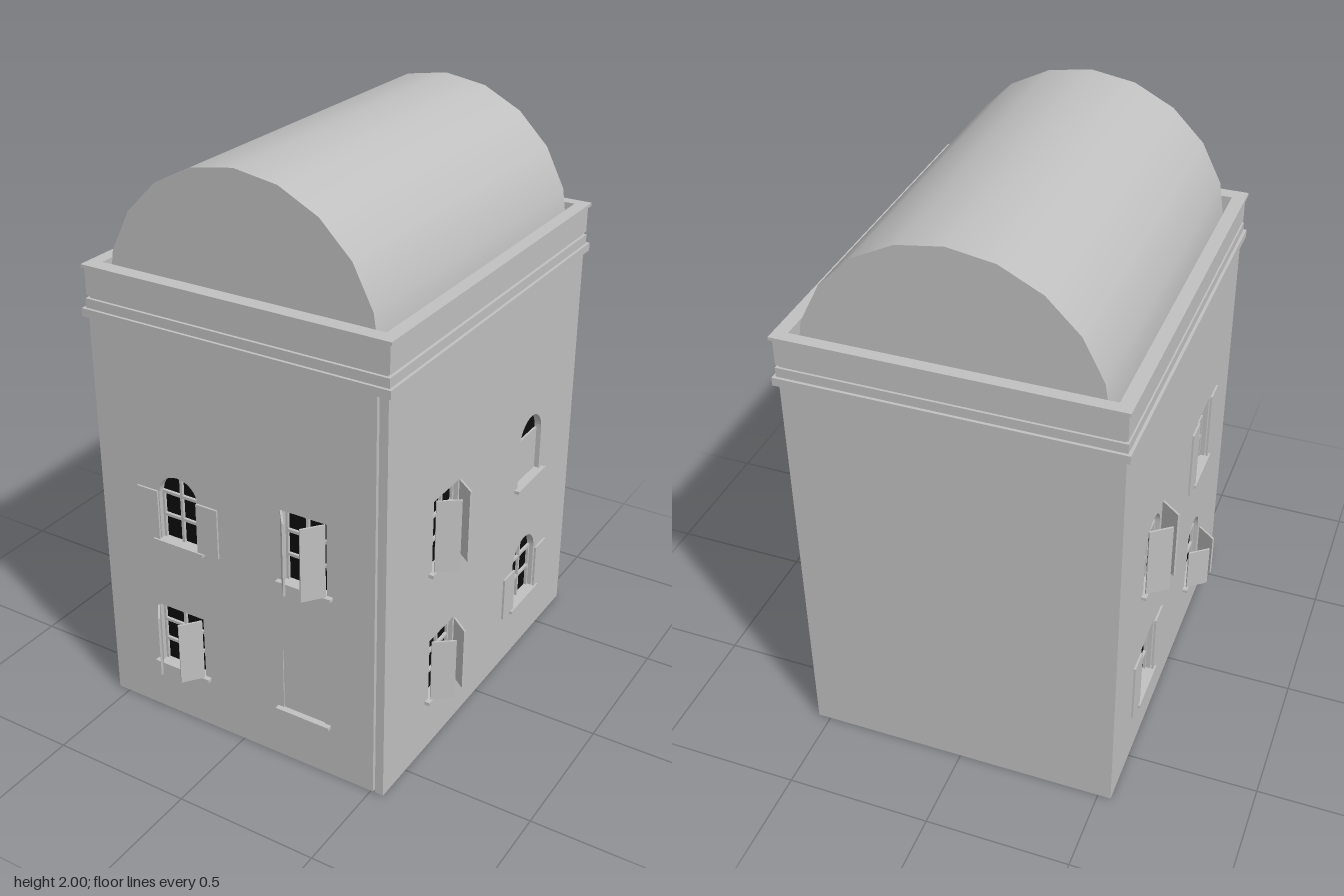
import * as THREE from 'three';

const stone = new THREE.MeshStandardMaterial({ color: 0xc0c0c0 });
stone.name = 'pale grey stone';
const dark = new THREE.MeshStandardMaterial({ color: 0x0c0c0c });
dark.name = 'black glass';

const T = 0.03; // wall thickness in front of the core
const BACK = -0.7, FRONT = 0.645, SIDE = 0.545;
const AJAR = THREE.MathUtils.degToRad(52), OPEN = Math.PI;

function add(parent, name, geometry, x = 0, y = 0, z = 0, material = stone) {
  const mesh = new THREE.Mesh(geometry, material);
  mesh.name = name;
  mesh.position.set(x, y, z);
  parent.add(mesh);
  return mesh;
}

function span(parent, name, x0, x1, y0, y1, z0, z1, material = stone) {
  return add(parent, name, new THREE.BoxGeometry(x1 - x0, y1 - y0, z1 - z0),
    (x0 + x1) / 2, (y0 + y1) / 2, (z0 + z1) / 2, material);
}

// Outline of a window opening, square or with an arched head
function outline(path, { u, w, y0, spring, top }) {
  path.moveTo(u - w, y0);
  path.lineTo(u + w, y0);
  path.lineTo(u + w, spring);
  if (top > spring) path.absellipse(u, spring, w, top - spring, 0, Math.PI, false, 0);
  else path.lineTo(u - w, spring);
  path.lineTo(u - w, y0);
  return path;
}

function rectangle(x0, x1, y0, y1, Type = THREE.Shape) {
  const p = new Type();
  p.moveTo(x0, y0);
  p.lineTo(x1, y0);
  p.lineTo(x1, y1);
  p.lineTo(x0, y1);
  p.closePath();
  return p;
}

function extrude(shape, depth) {
  return new THREE.ExtrudeGeometry(shape, { depth, bevelEnabled: false, curveSegments: 10 });
}

// Glass, glazing bars, sill and shutters; z = 0 is the outer wall surface
function addWindow(wall, win) {
  const { u, w, y0, spring, top, blind, blindDepth = 0.018, shutterTop, swing } = win;
  const g = new THREE.Group();
  g.name = 'window';
  wall.add(g);
  const sill = w + 0.022;
  span(g, 'sill', u - sill, u + sill, y0 - 0.012, y0, -T, 0.018);

  if (blind !== top) {
    add(g, 'glass', extrude(outline(new THREE.Shape(), win), 0.004), 0, 0, -T, dark);
  }
  if (blind) {
    span(g, 'blindPanel', u - w, u + w, y0, blind, -T, -blindDepth);
  } else {
    const b = 0.005, z0 = -T + 0.004, z1 = -T + 0.014;
    span(g, 'mullion', u - b, u + b, y0, top, z0, z1);
    const h = spring - y0;
    const rails = top > spring ? [y0 + h * 0.5, spring] : [y0 + h * 0.36, y0 + h * 0.7];
    rails.forEach((y) => span(g, 'glazingBar', u - w, u + w, y - b, y + b, z0, z1));
    for (const s of [-1, 1]) {
      span(g, 'sideFrame', u + s * (w - 0.004) - 0.004, u + s * (w - 0.004) + 0.004, y0, spring, z0, z1);
    }
  }

  if (!shutterTop) return;
  const L = 0.082, H = shutterTop - y0;
  for (const s of [-1, 1]) {
    const leaf = new THREE.BoxGeometry(L, H, 0.007);
    leaf.translate(-s * L / 2, 0, 0);
    const shutter = add(g, 'shutter', leaf, u + s * w, y0 + H / 2, 0.008);
    shutter.rotation.y = s * swing;
  }
}

// A wall plate pierced by its windows
function addWall(parent, name, u0, u1, windows) {
  const wall = new THREE.Group();
  wall.name = name;
  parent.add(wall);
  const shape = rectangle(u0, u1, 0, 1.45);
  windows.forEach((win) => shape.holes.push(outline(new THREE.Path(), win)));
  add(wall, name + 'Plate', extrude(shape, T), 0, 0, -T);
  windows.forEach((win) => addWindow(wall, win));
  return wall;
}

// Rectangular ring lying flat, used for the parapet
function ring(parent, name, outX, outZ0, outZ1, y0, y1) {
  const shape = rectangle(-outX, outX, -outZ1, -outZ0);
  shape.holes.push(rectangle(-0.51, 0.51, -0.602, 0.674, THREE.Path));
  const geo = extrude(shape, y1 - y0);
  geo.rotateX(-Math.PI / 2);
  add(parent, name, geo, 0, y0, 0);
}

export function createModel() {
  const house = new THREE.Group();
  house.name = 'house';

  // Solid core behind the wall plates
  span(house, 'core', -SIDE + T, SIDE - T, 0, 1.46, BACK, FRONT - T);

  // Window types
  const upperSquare = { w: 0.08, y0: 0.7, spring: 0.955, top: 0.955, shutterTop: 0.96 };
  const lowerSquare = { w: 0.08, y0: 0.2, spring: 0.43, top: 0.43, shutterTop: 0.43 };
  const upperArch = { w: 0.082, y0: 0.7, spring: 0.87, top: 0.945 };
  const lowerArch = { w: 0.087, y0: 0.2, spring: 0.37, top: 0.455, shutterTop: 0.365 };

  // Front wall, stopping short of the right corner to leave a narrow groove
  const front = addWall(house, 'frontWall', -SIDE + T, SIDE - T - 0.008, [
    { ...upperArch, u: -0.23, w: 0.077, shutterTop: 0.88, swing: OPEN },
    { ...upperSquare, u: 0.255, swing: AJAR },
    { ...lowerSquare, u: -0.243, w: 0.09, swing: AJAR },
    { ...lowerSquare, u: 0.245, blind: 0.43, blindDepth: 0.004, shutterTop: 0 },
  ]);
  front.position.z = FRONT;

  // Side wall at +x (u runs towards the back)
  const right = addWall(house, 'plusXWall', -FRONT, -BACK, [
    { ...upperSquare, u: -0.275, swing: AJAR },
    { ...lowerSquare, u: -0.275, swing: AJAR },
    { ...upperArch, u: 0.35, w: 0.086, spring: 0.86, blind: 0.86 },
    { ...lowerArch, u: 0.35, swing: OPEN },
  ]);
  right.rotation.y = Math.PI / 2;
  right.position.x = SIDE;

  // Side wall at -x (u runs towards the front)
  const left = addWall(house, 'minusXWall', BACK, FRONT, [
    { ...upperSquare, u: 0.265, swing: OPEN },
    { ...lowerArch, u: 0.265, w: 0.08, swing: AJAR },
    { ...upperArch, u: -0.345, shutterTop: 0.96, swing: AJAR },
    { ...lowerSquare, u: -0.345, swing: OPEN },
  ]);
  left.rotation.y = -Math.PI / 2;
  left.position.x = -SIDE;

  // Stepped cornice
  span(house, 'corniceLedge', -0.56, 0.56, 1.44, 1.468, -0.715, 0.66);
  span(house, 'corniceBand', -0.55, 0.55, 1.468, 1.5, -0.705, 0.65);
  span(house, 'roofDeck', -0.54, 0.54, 1.5, 1.515, -0.697, 0.64);

  // Parapet with a thin projecting lip
  ring(house, 'parapet', 0.548, -0.705, 0.646, 1.51, 1.602);
  ring(house, 'parapetLip', 0.556, -0.715, 0.653, 1.602, 1.613);

  // Barrel roof
  const barrel = new THREE.CylinderGeometry(0.49, 0.49, 1.27, 10, 1, false, Math.PI / 2, Math.PI);
  barrel.rotateX(Math.PI / 2);
  add(house, 'barrelRoof', barrel, 0, 1.51, -0.035);

  return house;
}
